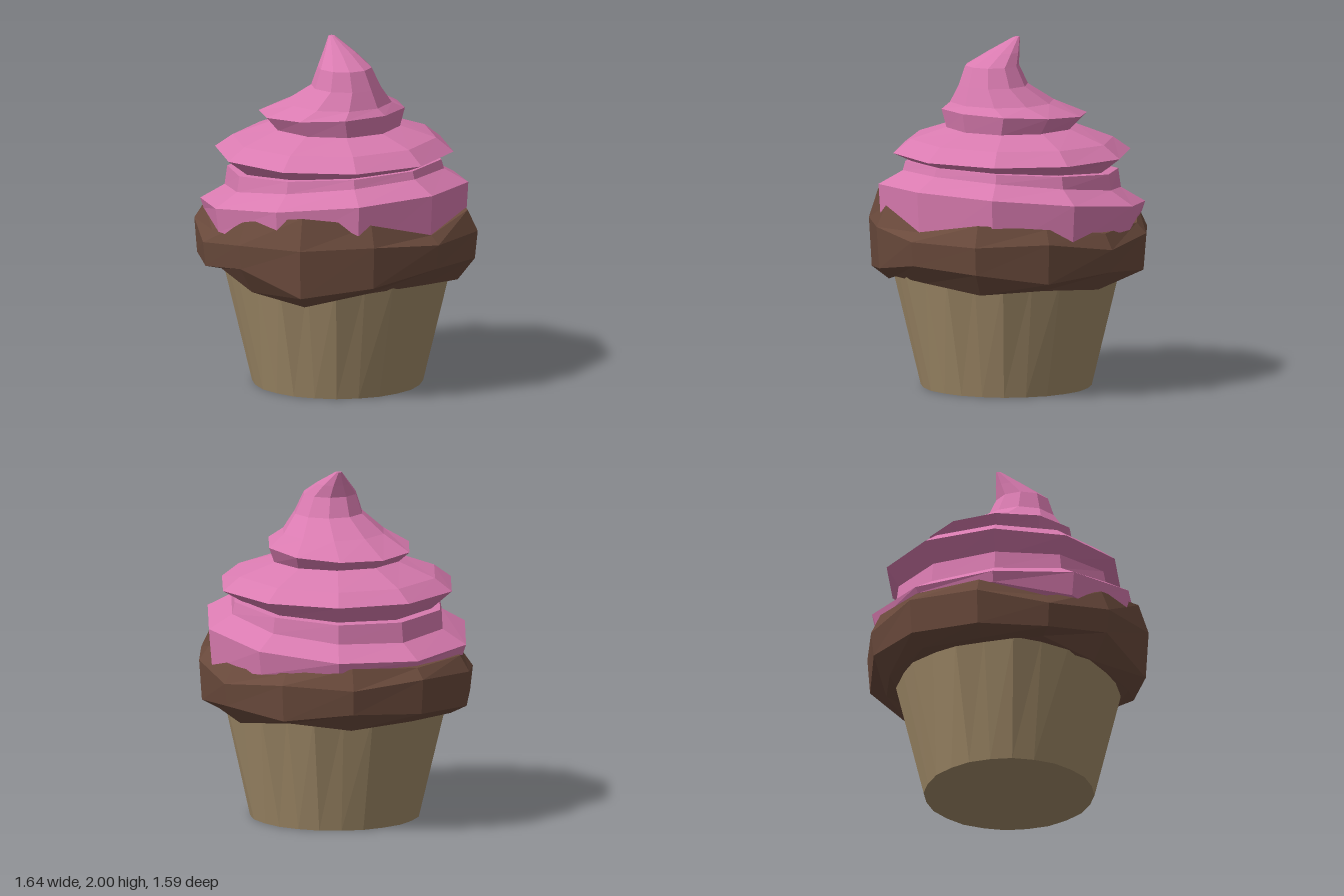
import * as THREE from 'three';

// Joins rings of points (bottom to top) into a closed, faceted solid.
function loft(name, color, rings) {
  const n = rings[0].length;
  const pos = [];
  const tri = (a, b, c) => pos.push(...a, ...b, ...c);
  const centre = (ring) => [0, 1, 2].map((k) => ring.reduce((s, p) => s + p[k], 0) / n);
  const last = rings[rings.length - 1];
  const low = centre(rings[0]);
  const high = centre(last);
  for (let j = 0; j < n; j++) {
    const k = (j + 1) % n;
    tri(low, rings[0][j], rings[0][k]);
    tri(high, last[k], last[j]);
    for (let i = 0; i < rings.length - 1; i++) {
      tri(rings[i][j], rings[i + 1][j], rings[i][k]);
      tri(rings[i + 1][j], rings[i + 1][k], rings[i][k]);
    }
  }
  const geo = new THREE.BufferGeometry();
  geo.setAttribute('position', new THREE.Float32BufferAttribute(pos, 3));
  geo.computeVertexNormals();
  const mesh = new THREE.Mesh(geo, new THREE.MeshStandardMaterial({ color, flatShading: true }));
  mesh.name = name;
  return mesh;
}

// One ring; radius and height are functions of the corner index and angle.
function ring(n, radius, height, cx = 0, cz = 0, turn = 0) {
  return Array.from({ length: n }, (_, i) => {
    const a = (i / n) * Math.PI * 2 + turn;
    const r = radius(i, a);
    return [cx + r * Math.cos(a), height(i, a), cz + r * Math.sin(a)];
  });
}

// Ten-sided icing ring, tilted along x.
const swirlRing = ([r, y, tilt = 0, cx = 0, cz = 0]) =>
  ring(10, () => r, (i, a) => y + tilt * Math.cos(a), cx, cz);

export function createModel() {
  const model = new THREE.Group();
  model.name = 'cupcake';

  // Pleated paper cup: every second corner is a fold standing slightly proud
  const cupRing = (r, fold, y) =>
    ring(24, (i) => r - (i % 2 ? fold : 0), () => y, 0.035, 0.01, 0.3);
  model.add(loft('paperCup', 0xa08a68, [
    cupRing(0.487, 0.004, 0),
    cupRing(0.655, 0.018, 0.7),
  ]));

  // Lumpy cake top, sampled every 30 degrees from +x towards the front
  const rim = [0.82, 0.80, 0.84, 0.79, 0.78, 0.82, 0.82, 0.80, 0.79, 0.80, 0.79, 0.84];
  const hem = [0.66, 0.65, 0.58, 0.62, 0.69, 0.65, 0.66, 0.63, 0.66, 0.62, 0.64, 0.62];
  const low = [0.77, 0.70, 0.65, 0.77, 0.71, 0.70, 0.72, 0.74, 0.69, 0.73, 0.69, 0.75];
  const shoulder = [0.91, 0.94, 0.93, 0.91, 0.85, 0.90, 0.92, 0.88, 0.90, 0.86, 0.92, 0.91];
  const crest = [0.96, 1.06, 1.11, 1.04, 0.92, 0.99, 0.98, 1.0, 0.96, 0.95, 1.0, 1.03];
  const cakeRing = (scale, heights) => ring(12, (i) => rim[i] * scale, (i) => heights[i]);
  model.add(loft('cakeTop', 0x6a4a3c, [
    ring(12, () => 0.6, () => 0.67),
    cakeRing(0.86, hem),
    cakeRing(0.98, low),
    cakeRing(1, shoulder),
    cakeRing(0.93, crest),
    ring(12, () => 0.6, () => 0.97),
  ]));

  // Icing: three stacked tiers, each entry is radius, height, tilt, centre x, centre z
  const tiers = {
    lowerSwirl: [
      [0.66, 0.91, -0.07], [0.75, 0.92, -0.07], [0.77, 1.105, 0.085],
      [0.63, 1.185, 0.08], [0.615, 1.265, 0.045], [0.54, 1.27, 0.04],
    ],
    middleSwirl: [
      [0.55, 1.255, 0.04], [0.685, 1.345, 0.005], [0.585, 1.42, 0.01], [0.37, 1.495],
    ],
    topSwirl: [
      [0.37, 1.49, 0, 0.01], [0.42, 1.575, 0.025, -0.02], [0.3, 1.64, 0, 0.06, 0.02],
      [0.2, 1.74, 0, 0.12, 0.03], [0.155, 1.85, 0, 0.12, 0.04],
      [0.095, 1.92, 0, 0.055, 0.015], [0.018, 2, 0, -0.03, -0.01],
    ],
  };
  for (const [name, rows] of Object.entries(tiers)) {
    model.add(loft(name, 0xd97bb0, rows.map(swirlRing)));
  }
  return model;
}
